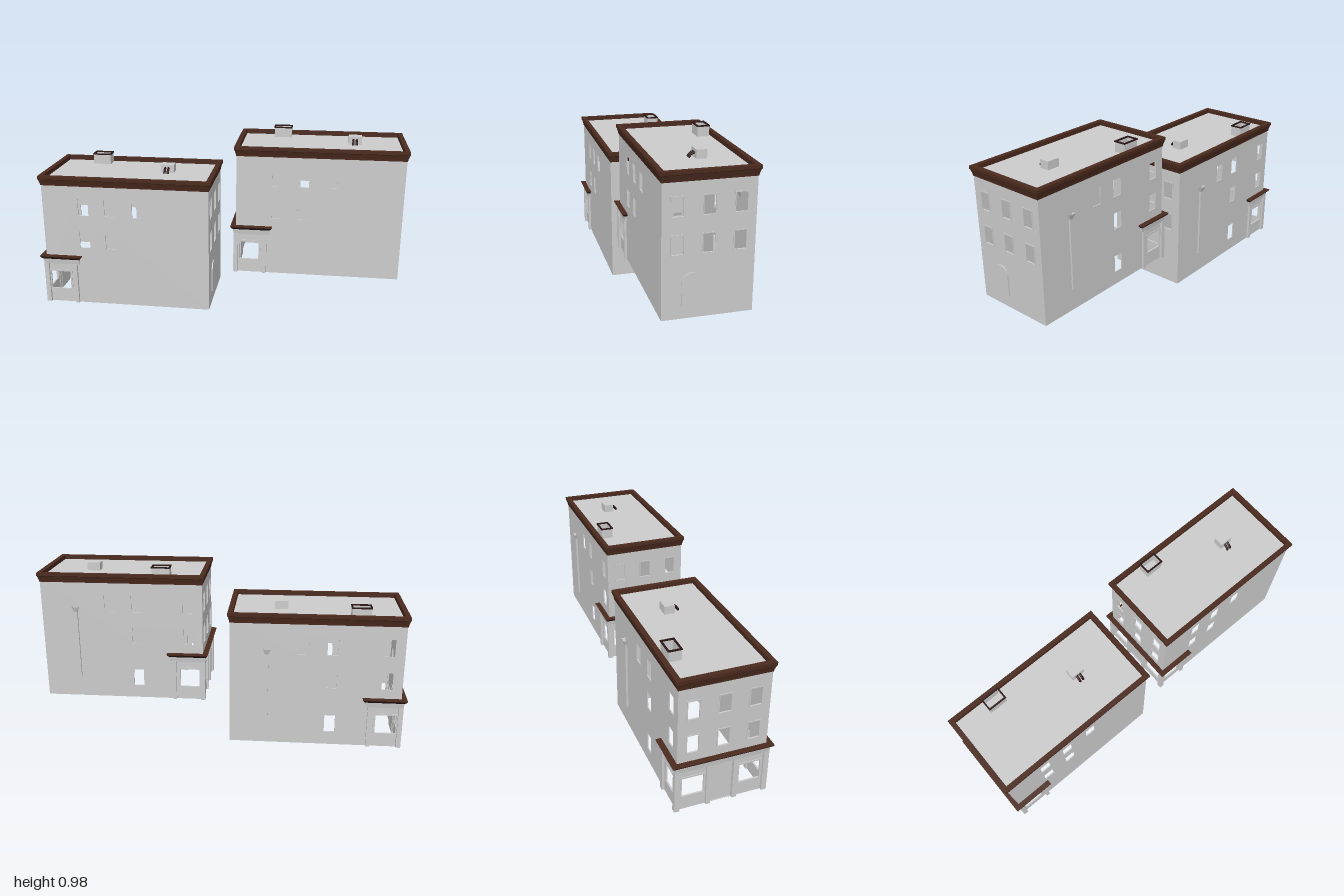
import * as THREE from 'three';

const HX = 0.4665, HZ = 0.233, T = 0.006; // half width, half depth, wall thickness
const mat = (color, side) => new THREE.MeshStandardMaterial({ color, side, flatShading: true });
const grey = mat(0xcccccc, THREE.FrontSide), open = mat(0xcccccc, THREE.DoubleSide);
const brown = mat(0x4a2a1e, THREE.DoubleSide), dark = mat(0x2a1614, THREE.DoubleSide);

function add(parent, name, geometry, material = grey, x = 0, y = 0, z = 0) {
  const mesh = new THREE.Mesh(geometry, material);
  mesh.name = name;
  mesh.position.set(x, y, z);
  parent.add(mesh);
  return mesh;
}

// box given by its limits
function block(parent, name, x0, x1, y0, y1, z0, z1) {
  return add(parent, name, new THREE.BoxGeometry(x1 - x0, y1 - y0, z1 - z0), grey,
    (x0 + x1) / 2, (y0 + y1) / 2, (z0 + z1) / 2);
}

function rect(PathType, u0, u1, v0, v1) {
  const p = new PathType();
  p.moveTo(u0, v0);
  p.lineTo(u1, v0);
  p.lineTo(u1, v1);
  p.lineTo(u0, v1);
  p.closePath();
  return p;
}

const extrude = (shape, depth) => new THREE.ExtrudeGeometry(shape, { depth, bevelEnabled: false, curveSegments: 10 });

// rectangular slab with rectangular openings
function pierced(u0, u1, v0, v1, holes, depth) {
  const shape = rect(THREE.Shape, u0, u1, v0, v1);
  holes.forEach((h) => shape.holes.push(rect(THREE.Path, ...h)));
  return extrude(shape, depth);
}

// sweep an [offset, height] profile along mitred corners
function sweep(corners, profile, closed) {
  const rows = profile.map(([o, y]) => corners(o).map(([x, z]) => [x, y, z]));
  const n = rows[0].length, m = rows.length, pos = [];
  for (let i = 0; i < m; i++) {
    const lo = rows[i], up = rows[(i + 1) % m];
    for (let j = 0; j < (closed ? n : n - 1); j++) {
      const k = (j + 1) % n;
      pos.push(...lo[j], ...lo[k], ...up[k], ...lo[j], ...up[k], ...up[j]);
    }
  }
  const g = new THREE.BufferGeometry();
  g.setAttribute('position', new THREE.Float32BufferAttribute(pos, 3));
  g.computeVertexNormals();
  return g;
}

const ringAround = (hx, hz) => (o) =>
  [[-hx - o, hz + o], [hx + o, hz + o], [hx + o, -hz - o], [-hx - o, -hz - o]];

const ROWS = [[0.337, 0.433], [0.527, 0.624]];
const win = (c, [v0, v1]) => [c - 0.029, c + 0.029, v0, v1];

function wall(parent, name, half, holes) {
  const g = new THREE.Group();
  g.name = name;
  add(g, 'wallPanel', pierced(-half, half, 0, 0.725, holes, T));
  parent.add(g);
  return g;
}

// end wall with two rows of trimmed windows; outer is the side the trim stands out on
function endWall(parent, name, outer, shopHoles) {
  const windows = [-0.156, 0, 0.156].flatMap((z) => ROWS.map((r) => win(z, r)));
  const g = wall(parent, name, HZ, [...windows, ...shopHoles]);
  windows.forEach(([a, b, c, d]) => add(g, 'windowTrim',
    pierced(a - 0.005, b + 0.005, c - 0.005, d + 0.005, [[a, b, c, d]], 0.004),
    grey, 0, 0, outer > 0 ? T - 0.001 : -0.003));
  g.rotation.y = -Math.PI / 2;
  return g;
}

function shopFront(parent) {
  const g = new THREE.Group();
  g.name = 'shopFront';
  const xe = -0.288; // rear end of the shop front along the side walls
  const path = (o) => [[xe + o, -HZ], [xe + o, -HZ - o], [-HX - o, -HZ - o],
    [-HX - o, HZ + o], [xe + o, HZ + o], [xe + o, HZ]];
  add(g, 'lintel', sweep(path, [[0, 0.237], [0.012, 0.237], [0.016, 0.268], [0, 0.268]], false), open);
  add(g, 'shopMoulding', sweep(path,
    [[0, 0.266], [0.016, 0.266], [0.026, 0.276], [0.028, 0.283], [0, 0.283]], false), dark);
  add(g, 'shopCornice', sweep(path, [[0, 0.282], [0.03, 0.282], [0.03, 0.285], [0, 0.286]], false), brown);
  for (const s of [-1, 1]) {
    const z0 = s * HZ - 0.014, z1 = s * HZ + 0.014;
    block(g, 'cornerPillar', -HX - 0.013, -HX + 0.013, 0, 0.24, z0, z1);
    block(g, 'sidePillar', xe - 0.022, xe, 0, 0.24, z0, z1);
    block(g, 'doorPillar', -HX - 0.012, -HX + 0.01, 0, 0.24, s * 0.07 - 0.012, s * 0.07 + 0.012);
    // trims around the display windows
    const side = pierced(-0.454, -0.323, 0.07, 0.197, [[-0.446, -0.334, 0.08, 0.187]], 0.006);
    add(g, 'displayTrim', side, grey, 0, 0, s * HZ - 0.003);
    const end = pierced(-0.064, 0.064, 0.07, 0.197, [[-0.056, 0.056, 0.08, 0.187]], 0.006);
    add(g, 'displayTrim', end, grey, -HX + 0.003, 0, s * 0.15).rotation.y = -Math.PI / 2;
  }
  // slightly recessed entrance door
  block(g, 'door', -HX + 0.005, -HX + 0.013, 0, 0.23, -0.06, 0.06);
  parent.add(g);
}

function roofParts(parent) {
  const roof = add(parent, 'roof', new THREE.PlaneGeometry(2 * HX - 0.01, 2 * HZ - 0.01), open, 0, 0.726, 0);
  roof.rotation.x = -Math.PI / 2;
  add(parent, 'parapet', sweep(ringAround(HX, HZ), [[-0.014, 0.696], [0.002, 0.696], [0.004, 0.709],
    [0.01, 0.73], [0.013, 0.733], [0.013, 0.75], [-0.014, 0.75]], true), brown);
  // open chimney with a thin dark rim
  const c = new THREE.Group();
  c.name = 'chimney';
  c.position.set(-0.228, 0, -0.175);
  add(c, 'chimneyShaft', sweep(ringAround(0.051, 0.033),
    [[-0.004, 0.72], [0, 0.72], [0, 0.782], [-0.004, 0.782]], true), open);
  add(c, 'chimneyRim', sweep(ringAround(0.051, 0.033),
    [[-0.005, 0.781], [0.003, 0.781], [0.003, 0.788], [-0.005, 0.788]], true), dark);
  parent.add(c);
  // vent box with two down-turned pipes
  block(parent, 'ventBox', 0.157, 0.232, 0.72, 0.772, -0.06, -0.004);
  for (const x of [0.183, 0.202]) {
    const bend = new THREE.QuadraticBezierCurve3(new THREE.Vector3(x, 0.753, -0.008),
      new THREE.Vector3(x, 0.75, 0.015), new THREE.Vector3(x, 0.728, 0.025));
    add(parent, 'ventPipe', new THREE.TubeGeometry(bend, 6, 0.007, 8), dark);
  }
}

function building() {
  const b = new THREE.Group();
  const [mid, top] = ROWS;
  const X = [-0.235, -0.086, 0.071], corner = -0.383;
  const sideShop = [-0.446, -0.334, 0.08, 0.187];

  const front = wall(b, 'frontWall', HX,
    [...X.map((x) => win(x, top)), win(X[0], mid), win(X[1], mid), sideShop]);
  front.position.z = HZ - T;
  const back = wall(b, 'backWall', HX, [win(X[2], top), win(X[1], top), win(corner, top),
    win(X[1], mid), win(corner, mid), win(X[1], [0.076, 0.175]), sideShop]);
  back.position.z = -HZ;
  endWall(b, 'plainEndWall', -1, []).position.x = HX;
  endWall(b, 'shopEndWall', 1, [[-0.206, -0.094, 0.08, 0.187], [-0.058, 0.058, 0.002, 0.225],
    [0.094, 0.206, 0.08, 0.187]]).position.x = -HX + T;

  // blind arch on the plain end
  const arch = new THREE.Shape();
  arch.moveTo(-0.051, 0.068);
  arch.lineTo(0.051, 0.068);
  arch.lineTo(0.051, 0.19);
  arch.absarc(0, 0.19, 0.051, 0, Math.PI, false);
  arch.closePath();
  add(b, 'blindArch', extrude(arch, 0.008), grey, HX + 0.006, 0, 0.082).rotation.y = -Math.PI / 2;

  // drainpipe with an open hopper head
  block(b, 'drainpipe', 0.257, 0.275, 0.125, 0.535, -HZ - 0.011, -HZ);
  const hopper = new THREE.CylinderGeometry(0.028, 0.013, 0.03, 4, 1, true);
  hopper.rotateY(Math.PI / 4);
  add(b, 'drainHopper', hopper, open, 0.266, 0.54, -HZ - 0.003);

  shopFront(b);
  roofParts(b);
  return b;
}

export function createModel() {
  const model = new THREE.Group();
  model.name = 'terracedBuildings';
  const lower = building();
  lower.name = 'lowerBuilding';
  lower.position.set(-0.5025, 0, -0.001);
  const upper = building();
  upper.name = 'upperBuilding';
  upper.scale.setScalar(0.937);
  upper.position.set(0.548, 0.242, -0.006);
  model.add(lower, upper);
  return model;
}
